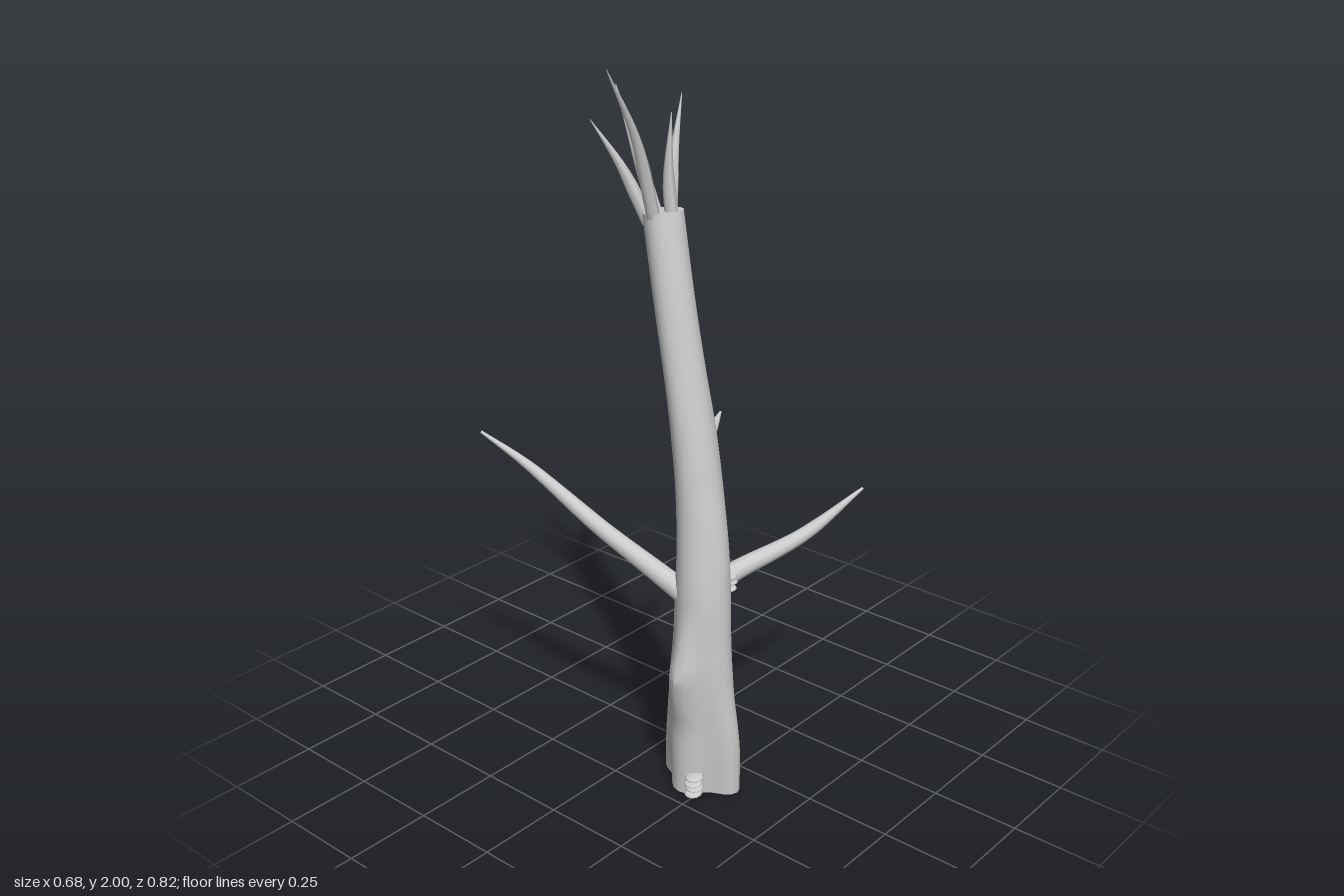
import * as THREE from 'three';
import { toCreasedNormals } from 'three/addons/utils/BufferGeometryUtils.js';

const material = new THREE.MeshStandardMaterial({ color: 0xcccccc, side: THREE.DoubleSide });
const vec = (p) => new THREE.Vector3(...p);

// Trunk sections: height, min x, max x, min z, max z
const SECTIONS = [
  [0.00, -0.210, -0.005, 0.075, 0.330],
  [0.15, -0.210, -0.020, 0.085, 0.330],
  [0.30, -0.210, -0.043, 0.112, 0.315],
  [0.45, -0.210, -0.058, 0.135, 0.308],
  [0.60, -0.213, -0.060, 0.145, 0.303],
  [0.75, -0.203, -0.060, 0.146, 0.290],
  [0.90, -0.197, -0.058, 0.140, 0.265],
  [1.05, -0.194, -0.062, 0.122, 0.240],
  [1.20, -0.191, -0.070, 0.100, 0.210],
  [1.40, -0.187, -0.072, 0.063, 0.170],
  [1.62, -0.176, -0.066, 0.015, 0.125],
];
const centres = new THREE.CatmullRomCurve3(
  SECTIONS.map(([y, a, b, c, d]) => new THREE.Vector3((a + b) / 2, y, (c + d) / 2)));
const radii = new THREE.CatmullRomCurve3(
  SECTIONS.map(([y, a, b, c, d]) => new THREE.Vector3((b - a) / 2, y, (d - c) / 2)));

// Lean, angular base and the bark bulge on the right side
function trunkGeometry() {
  const geo = new THREE.CylinderGeometry(1, 1, 1, 32, 44);
  const pos = geo.attributes.position;
  for (let i = 0; i < pos.count; i++) {
    const t = THREE.MathUtils.clamp(pos.getY(i) + 0.5, 0, 1);
    const x = pos.getX(i), z = pos.getZ(i);
    const c = centres.getPoint(t), r = radii.getPoint(t);
    const angle = Math.atan2(x, z);
    const corner = 0.04 + 0.24 * Math.max(0, 1 - c.y / 0.35);
    let k = 1 + corner * (Math.cos(4 * angle) - 1) / 2;
    const side = (angle + Math.PI / 2) / 0.4;
    k += 0.55 * Math.max(0, 1 - Math.abs(c.y - 0.38) / 0.18) * Math.exp(-side * side);
    k += 0.02 * Math.sin(angle * 3 + c.y * 7) * Math.sin(c.y * 5);
    pos.setXYZ(i, c.x + x * r.x * k, c.y + 0.1 * z * r.z * t, c.z + z * r.z * k);
  }
  return toCreasedNormals(geo, 0.8);
}

// Tapered limb along a path; radii are spread evenly from base to tip
function limb(name, points, widths, sides = 10) {
  const curve = new THREE.CatmullRomCurve3(points.map(vec), false, 'centripetal');
  const steps = 18;
  const geo = new THREE.TubeGeometry(curve, steps, 1, sides);
  const pos = geo.attributes.position, v = new THREE.Vector3();
  for (let i = 0; i < pos.count; i++) {
    const t = Math.floor(i / (sides + 1)) / steps;
    const f = t * (widths.length - 1), j = Math.min(Math.floor(f), widths.length - 2);
    const r = THREE.MathUtils.lerp(widths[j], widths[j + 1], f - j);
    const c = curve.getPointAt(t);
    v.fromBufferAttribute(pos, i).sub(c).multiplyScalar(r).add(c);
    pos.setXYZ(i, v.x, v.y, v.z);
  }
  const mesh = new THREE.Mesh(geo, material);
  mesh.name = name;
  return mesh;
}

// Stack of small shelf fungi
function fungi(name, x, y, z, count, radius, gap) {
  const group = new THREE.Group();
  group.name = name;
  for (let i = 0; i < count; i++) {
    const shelf = new THREE.Mesh(new THREE.SphereGeometry(radius, 12, 6), material);
    shelf.scale.y = 0.25;
    shelf.position.set(x + (i % 2) * 0.004, y + i * gap, z);
    shelf.rotation.z = 0.15;
    shelf.name = 'fungusShelf';
    group.add(shelf);
  }
  return group;
}

export function createModel() {
  const model = new THREE.Group();
  model.name = 'deadTree';

  const trunk = new THREE.Mesh(trunkGeometry(), material);
  trunk.name = 'trunk';
  model.add(trunk);

  // Branches
  model.add(
    limb('frontBranch', [[-0.11, 0.615, 0.235], [-0.04, 0.64, 0.257], [0.16, 0.70, 0.335], [0.335, 0.80, 0.405]],
      [0.03, 0.025, 0.018, 0.004]),
    limb('backBranch', [[-0.17, 0.60, 0.19], [-0.195, 0.66, 0.08], [-0.228, 0.737, -0.06], [-0.28, 0.88, -0.29], [-0.335, 0.96, -0.405]],
      [0.032, 0.026, 0.022, 0.015, 0.004]),
    limb('upperBranch', [[-0.1, 0.965, 0.175], [-0.04, 0.978, 0.147], [0.02, 0.993, 0.12], [0.12, 1.005, 0.07]],
      [0.024, 0.02, 0.013, 0.003]),
  );

  // Splinters round the broken top: base, bend, tip
  const splinters = [
    [[-0.155, 1.59, 0.075], [-0.225, 1.82, 0.075], [-0.325, 2.0, 0.075]],
    [[-0.142, 1.59, 0.042], [-0.175, 1.73, -0.02], [-0.22, 1.845, -0.08]],
    [[-0.103, 1.59, 0.038], [-0.075, 1.76, -0.065], [-0.045, 1.9, -0.155]],
    [[-0.08, 1.59, 0.062], [-0.025, 1.73, 0.025], [0.055, 1.88, -0.017]],
    [[-0.118, 1.59, 0.1], [-0.12, 1.72, 0.09], [-0.11, 1.87, 0.09]],
  ];
  for (const path of splinters) model.add(limb('splinter', path, [0.018, 0.017, 0.009, 0.001], 6));

  // Raised bark strips
  model.add(
    limb('barkStrip', [[-0.055, 0.2, 0.15], [-0.058, 0.32, 0.168], [-0.072, 0.46, 0.168]], [0.002, 0.013, 0.002], 6),
    limb('barkStrip', [[-0.14, 0.3, 0.115], [-0.145, 0.45, 0.142], [-0.14, 0.6, 0.15]], [0.002, 0.009, 0.002], 6),
  );

  model.add(fungi('baseFungi', -0.203, 0.015, 0.25, 4, 0.026, 0.016));
  model.add(fungi('branchFungi', -0.075, 0.605, 0.268, 3, 0.018, 0.018));
  return model;
}
